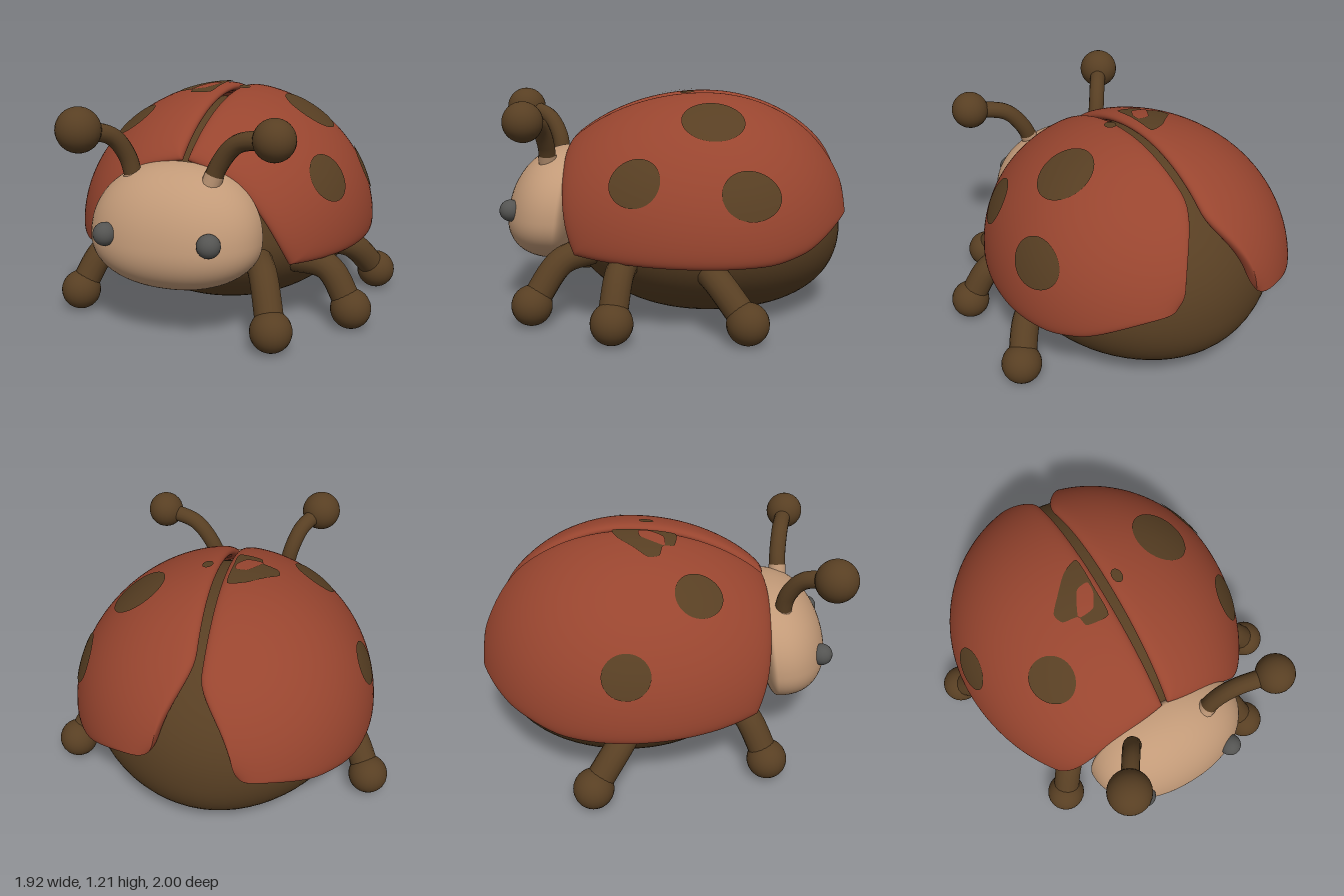
import * as THREE from 'three';
import { mergeVertices } from 'three/addons/utils/BufferGeometryUtils.js';

const mat = (name, color) => Object.assign(new THREE.MeshStandardMaterial({ color }), { name });
const red = mat('wing red', 0x98452f);
const brown = mat('dark brown', 0x583f23);
const peach = mat('face peach', 0xc29a78);
const grey = mat('eye grey', 0x545452);

const V = (x, y, z) => new THREE.Vector3(x, y, z);

function add(parent, name, geometry, material, position) {
  const mesh = new THREE.Mesh(geometry, material);
  mesh.name = name;
  if (position) mesh.position.copy(position);
  parent.add(mesh);
}

function ball(parent, name, r, material, position) {
  add(parent, name, new THREE.SphereGeometry(r, 24, 16), material, position);
}

// Sphere whose points are moved by a rule
function shapedSphere(rule) {
  const g = new THREE.SphereGeometry(1, 64, 48);
  g.deleteAttribute('uv');
  g.deleteAttribute('normal');
  const p = g.attributes.position;
  for (let i = 0; i < p.count; i++) p.setXYZ(i, ...rule(p.getX(i), p.getY(i), p.getZ(i)));
  const merged = mergeVertices(g, 1e-5);
  merged.computeVertexNormals();
  return merged;
}

function fromTriangles(points, index, flip) {
  let g = new THREE.BufferGeometry();
  g.setAttribute('position', new THREE.Float32BufferAttribute(points, 3));
  if (flip) for (let i = 0; i < index.length; i += 3) [index[i], index[i + 1]] = [index[i + 1], index[i]];
  g.setIndex(index);
  g = mergeVertices(g, 1e-5);
  g.computeVertexNormals();
  return g;
}

// Dome followed by both wings: c runs from front (+1) to back (-1), phi from the seam down the side
const reach = (side, front) => (front ? 1 : side < 0 ? 0.87 : 0.84);
function dome(side, c, phi, s = 1) {
  const rho = Math.sqrt(Math.max(0, 1 - c * c));
  return [
    side * 0.84 * s * rho * Math.sin(phi),
    0.42 + 0.785 * s * rho * Math.cos(phi),
    -0.2 + reach(side, c > 0) * s * c,
  ];
}

// Wing case: a closed, thick shell with rounded rims and a rounded rear lobe
function wingGeometry(side) {
  const N = 60, points = [], index = [];
  const right = side < 0;
  const lobeStart = right ? 0.68 : 0.58, lobeEnd = right ? 0.95 : 0.925, lobeMid = right ? 1 : 0.92;
  for (const layer of [1, -1]) {
    for (let i = 0; i <= N; i++) {
      const u = (1 - Math.cos((Math.PI * i) / N)) / 2;
      for (let j = 0; j <= N; j++) {
        const v = (1 - Math.cos((Math.PI * j) / N)) / 2;
        // the front rim slants back towards the seam and the hem
        const start = 0.65 + 0.13 * Math.pow(v, 5) + 0.03 * Math.pow(1 - v, 8);
        const c = Math.cos(start + u * (Math.acos(-lobeEnd) - start));
        const w = THREE.MathUtils.clamp((-c - lobeStart) / (lobeEnd - lobeStart), 0, 1);
        const h = Math.sqrt(1 - w * w);
        const hem = 1.645 - 0.12 * THREE.MathUtils.smoothstep(-c, 0.35, 0.9);
        const phi0 = lobeMid + ((right ? -0.01 : 0.075) - lobeMid) * h;
        const phi1 = lobeMid + (hem - lobeMid) * h;
        const a = Math.max(Math.abs(2 * u - 1), Math.abs(2 * v - 1));
        const e = Math.sqrt(Math.max(0, 1 - Math.pow(a, 20)));
        points.push(...dome(side, c, phi0 + (phi1 - phi0) * v, 0.96 + layer * 0.04 * e));
      }
    }
  }
  const M = (N + 1) * (N + 1);
  for (let i = 0; i < N; i++) {
    for (let j = 0; j < N; j++) {
      const a = i * (N + 1) + j, b = a + 1, d = a + N + 1, f = d + 1;
      index.push(a, b, d, b, f, d);
      index.push(M + a, M + d, M + b, M + b, M + d, M + f);
    }
  }
  return fromTriangles(points, index, right);
}

// Thin patch on the dome; outline(k) gives [dz, dphi] for k in 0..1
function patchGeometry(side, z, phi, outline, s = 1.007) {
  const K = 40, R = 6, points = [], index = [];
  for (let r = 0; r <= R; r++) {
    for (let k = 0; k < K; k++) {
      const [dz, dp] = outline(k / K);
      const off = z + (dz * r) / R + 0.2;
      points.push(...dome(side, off / reach(side, off > 0), phi + (dp * r) / R, s));
    }
  }
  for (let r = 0; r < R; r++) {
    for (let k = 0; k < K; k++) {
      const a = r * K + k, b = r * K + ((k + 1) % K);
      if (r > 0) index.push(a, b, a + K);
      index.push(b, b + K, a + K);
    }
  }
  return fromTriangles(points, index, side < 0);
}

const oval = (rz, rp) => (k) => [rz * Math.cos(k * 2 * Math.PI), -rp * Math.sin(k * 2 * Math.PI)];
// Closed outline through [dz, dphi] corners
const blob = (corners) => {
  const curve = new THREE.CatmullRomCurve3(corners.map(([z, p]) => V(z, p, 0)), true, 'catmullrom', 0.3);
  return (k) => curve.getPoint(k).toArray();
};

export function createModel() {
  const model = new THREE.Group();
  model.name = 'ladybird';

  // Body with full front shoulders, a full lower rear and a flattened underside
  add(model, 'body', shapedSphere((x, y, z) => {
    const r = Math.sqrt(Math.max(1e-6, 1 - z * z));
    const boxy = Math.pow(Math.max(0, 1 - Math.pow(Math.abs(z), 2.4)), 1 / 2.4) / r;
    const full = z * y > 0 ? boxy : 1;
    return [
      x * 0.74,
      Math.max(0, 0.45 + y * full * (y > 0 ? 0.67 : 0.487)),
      -0.2 + z * (z > 0 ? 0.765 : 0.775),
    ];
  }), brown);

  // Head, a softly boxed egg leaning back
  const soft = (t) => Math.sign(t) * Math.pow(Math.abs(t), 0.92);
  add(model, 'head', shapedSphere((x, y, z) => {
    const dy = soft(y) * (y > 0 ? 0.37 : 0.265);
    return [soft(x) * 0.465, 0.52 + dy, 0.61 + soft(z) * (z > 0 ? 0.31 : 0.08) - 0.14 * dy];
  }), peach);

  // Wing cases and their spots: [side, z, phi, z radius, phi radius]
  for (const side of [-1, 1]) add(model, side < 0 ? 'rightWing' : 'leftWing', wingGeometry(side), red);
  const spots = [
    [1, 0.17, 1.06, 0.13, 0.18], [1, -0.23, 0.59, 0.165, 0.2], [1, -0.41, 1.16, 0.15, 0.17],
    [1, -0.1, 0.135, 0.04, 0.035], [-1, -0.2, 1.15, 0.125, 0.15], [-1, 0.17, 0.6, 0.125, 0.17],
  ];
  for (const [side, z, phi, rz, rp] of spots) {
    add(model, 'spot', patchGeometry(side, z, phi, oval(rz, rp)), brown);
  }
  add(model, 'seamSpot', patchGeometry(-1, -0.09, 0.16, blob([
    [-0.19, -0.13], [-0.16, -0.02], [-0.07, 0.09], [0, 0.17], [0.06, 0.15],
    [0.08, 0.05], [0.14, 0.03], [0.15, -0.12], [0, -0.13],
  ])), brown);
  add(model, 'seamSpotCentre', patchGeometry(-1, -0.06, 0.13, blob([
    [-0.08, -0.08], [-0.07, 0], [0.05, 0.08], [0.06, 0.03], [0.05, -0.03], [-0.02, -0.08],
  ]), 1.012), red);

  // Eyes
  for (const x of [-0.28, 0.28]) ball(model, 'eye', 0.06, grey, V(x, 0.56, 0.87));

  // Antennae with knobs and skin-coloured roots
  const antennae = [
    [[V(0.2, 0.78, 0.67), V(0.26, 0.92, 0.67), V(0.36, 1.03, 0.69), V(0.56, 1.07, 0.74)], 0.105, 0.2],
    [[V(-0.22, 0.78, 0.64), V(-0.25, 0.92, 0.66), V(-0.3, 1.03, 0.73), V(-0.4, 1.08, 0.88)], 0.115, 0.12],
  ];
  for (const [pts, r, root] of antennae) {
    const curve = new THREE.CatmullRomCurve3(pts);
    add(model, 'antenna', new THREE.TubeGeometry(curve, 24, 0.047, 14), brown);
    const rootCurve = new THREE.CatmullRomCurve3([0, 0.5, 1].map((t) => curve.getPoint(t * root)));
    add(model, 'antennaRoot', new THREE.TubeGeometry(rootCurve, 8, 0.05, 14), peach);
    ball(model, 'antennaKnob', r, brown, pts[3]);
  }

  // Legs: hip, knee, foot
  const legs = [
    [V(0.38, 0.36, 0.42), V(0.46, 0.32, 0.57), V(0.55, 0.105, 0.72)],
    [V(0.5, 0.33, 0.22), V(0.71, 0.31, 0.25), V(0.85, 0.105, 0.28)],
    [V(0.52, 0.32, -0.16), V(0.72, 0.29, -0.24), V(0.85, 0.105, -0.39)],
    [V(-0.4, 0.36, 0.34), V(-0.52, 0.32, 0.44), V(-0.62, 0.105, 0.55)],
    [V(-0.52, 0.32, -0.16), V(-0.72, 0.29, -0.24), V(-0.85, 0.105, -0.38)],
  ];
  for (const pts of legs) {
    add(model, 'leg', new THREE.TubeGeometry(new THREE.CatmullRomCurve3(pts), 20, 0.075, 16), brown);
    ball(model, 'foot', 0.108, brown, pts[2]);
  }
  return model;
}
